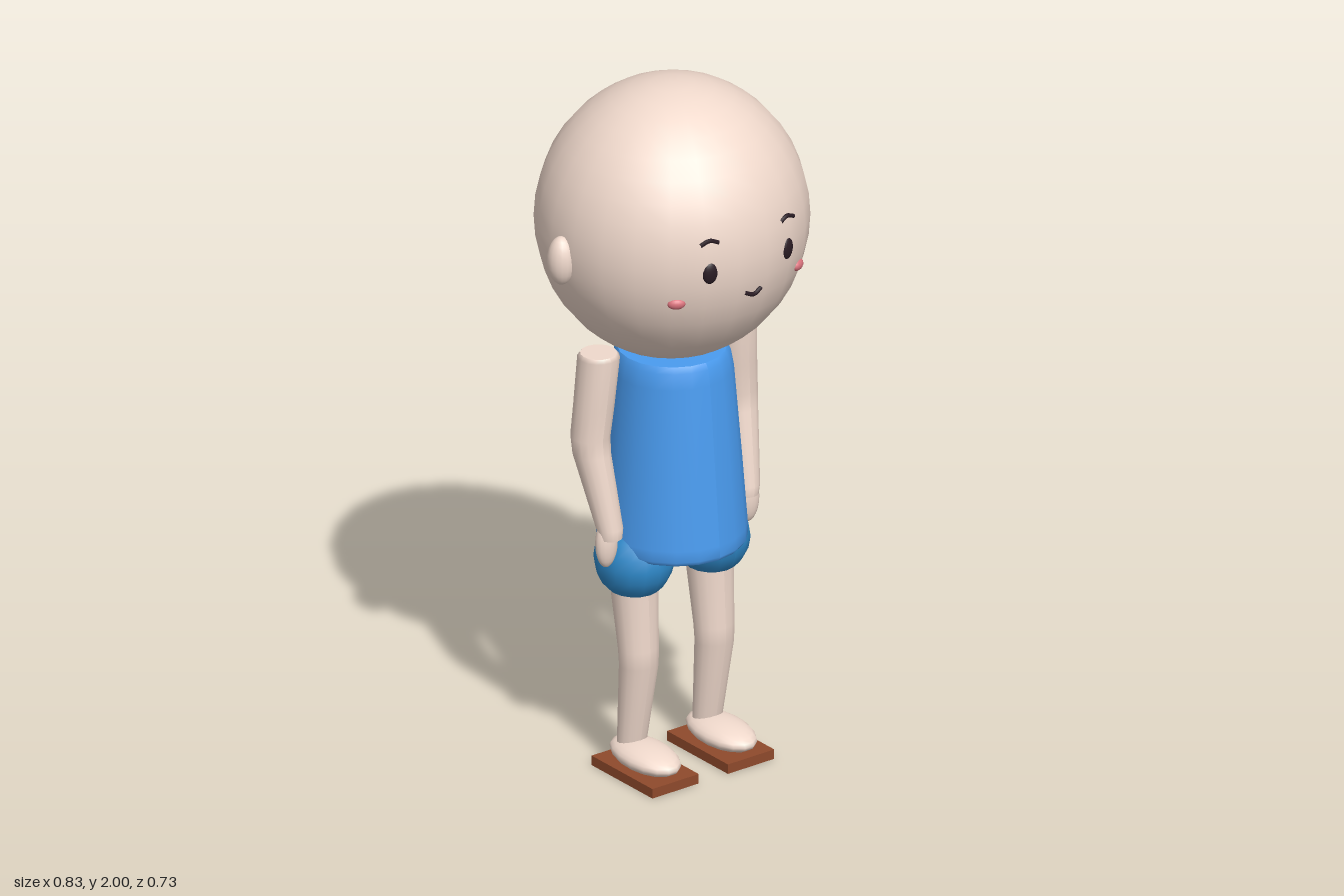
import * as THREE from 'three';

const material = (color) => new THREE.MeshStandardMaterial({ color });

export function createModel() {
  const model = new THREE.Group();
  const skin = material(0xf0d9cc);
  const shirt = material(0x4a9cf0);
  const shorts = material(0x2f8acb);
  const sole = material(0x8f4a2c);
  const dark = material(0x2a1c24);
  const blush = material(0xd9727c);

  function add(name, geometry, mat, x = 0, y = 0, z = 0) {
    const mesh = new THREE.Mesh(geometry, mat);
    mesh.name = name;
    mesh.position.set(x, y, z);
    model.add(mesh);
    return mesh;
  }

  function ellipsoid(name, mat, [x, y, z], [rx, ry, rz], seg = 16, rows = 12) {
    const geometry = new THREE.SphereGeometry(1, seg, rows);
    geometry.rotateY(Math.PI / seg).scale(rx, ry, rz);
    return add(name, geometry, mat, x, y, z);
  }

  // Closed solid through horizontal rings, top to bottom: [x, y, z, rx, rz]
  function loft(rings, sides = 16) {
    const last = rings.length - 1;
    const geometry = new THREE.CylinderGeometry(1, 1, last, sides, last);
    const p = geometry.attributes.position;
    for (let i = 0; i < p.count; i++) {
      const [x, y, z, rx, rz] = rings[Math.round(last / 2 - p.getY(i))];
      p.setXYZ(i, x + p.getX(i) * rx, y, z + p.getZ(i) * rz);
    }
    geometry.computeVertexNormals();
    return geometry;
  }

  // Thin curved stroke lying on the face
  function stroke(name, points) {
    const curve = new THREE.CatmullRomCurve3(points.map((q) => new THREE.Vector3(...q)));
    add(name, new THREE.TubeGeometry(curve, 10, 0.006, 6), dark);
  }

  // Head and mouth
  ellipsoid('head', skin, [0, 1.608, 0], [0.375, 0.393, 0.367], 24, 20);
  stroke('mouth', [[-0.028, 1.514, 0.355], [0, 1.504, 0.36], [0.028, 1.514, 0.355]]);

  // Shirt and hips
  add('shirt', loft([
    [0, 1.222, 0, 0.148, 0.15], [0, 1.205, 0, 0.158, 0.16], [0, 1.16, 0, 0.166, 0.168],
    [0, 0.9, 0, 0.186, 0.192], [0, 0.7, 0, 0.2, 0.21], [0, 0.668, 0, 0.201, 0.212],
    [0, 0.655, 0, 0.19, 0.203],
  ], 20), shirt);
  ellipsoid('hips', shorts, [0, 0.72, 0], [0.16, 0.085, 0.12]);

  for (const s of [1, -1]) {
    const side = s > 0 ? 'left' : 'right';

    // Face features
    ellipsoid(side + 'Ear', skin, [s * 0.375, 1.578, 0], [0.039, 0.07, 0.04]);
    ellipsoid(side + 'Eye', dark, [s * 0.131, 1.595, 0.337], [0.022, 0.032, 0.011]).rotation.y = s * 0.3;
    ellipsoid(side + 'Cheek', blush, [s * 0.205, 1.506, 0.286], [0.025, 0.016, 0.014]).rotation.y = s * 0.5;
    stroke(side + 'Brow', [
      [s * 0.105, 1.681, 0.342], [s * 0.131, 1.69, 0.336], [s * 0.158, 1.68, 0.33],
    ]);

    // Arm, bent a little at the elbow
    add(side + 'Arm', loft([
      [s * 0.232, 1.256, -0.022, 0.05, 0.05], [s * 0.232, 1.245, -0.022, 0.058, 0.058],
      [s * 0.242, 1.1, -0.03, 0.056, 0.056], [s * 0.25, 1.01, -0.035, 0.054, 0.055],
      [s * 0.249, 0.96, -0.03, 0.052, 0.054], [s * 0.232, 0.755, 0.026, 0.037, 0.038],
      [s * 0.231, 0.725, 0.028, 0.033, 0.033],
    ]), skin);
    ellipsoid(side + 'Hand', skin, [s * 0.24, 0.71, 0.023], [0.034, 0.072, 0.024]);

    // Puffed shorts leg
    add(side + 'ShortsLeg', loft([
      [s * 0.12, 0.73, 0, 0.06, 0.07], [s * 0.122, 0.7, 0, 0.09, 0.095],
      [s * 0.126, 0.66, 0, 0.104, 0.111], [s * 0.128, 0.625, 0, 0.107, 0.116],
      [s * 0.13, 0.59, 0, 0.1, 0.108], [s * 0.13, 0.56, 0, 0.086, 0.092],
      [s * 0.13, 0.54, 0, 0.068, 0.072],
    ]), shorts);

    // Leg, bent a little at the knee
    add(side + 'Leg', loft([
      [s * 0.128, 0.6, 0, 0.07, 0.066], [s * 0.128, 0.54, 0, 0.067, 0.063],
      [s * 0.128, 0.37, 0.018, 0.058, 0.053], [s * 0.128, 0.32, 0.02, 0.056, 0.051],
      [s * 0.128, 0.07, -0.012, 0.042, 0.037],
    ]), skin);

    // Foot on a flat sandal sole
    const foot = ellipsoid(side + 'Foot', skin, [s * 0.129, 0.058, 0.05], [0.073, 0.036, 0.127]);
    foot.rotation.x = 0.04;
    add(side + 'Sole', new THREE.BoxGeometry(0.157, 0.028, 0.268), sole, s * 0.128, 0.014, 0.048);
  }
  return model;
}
